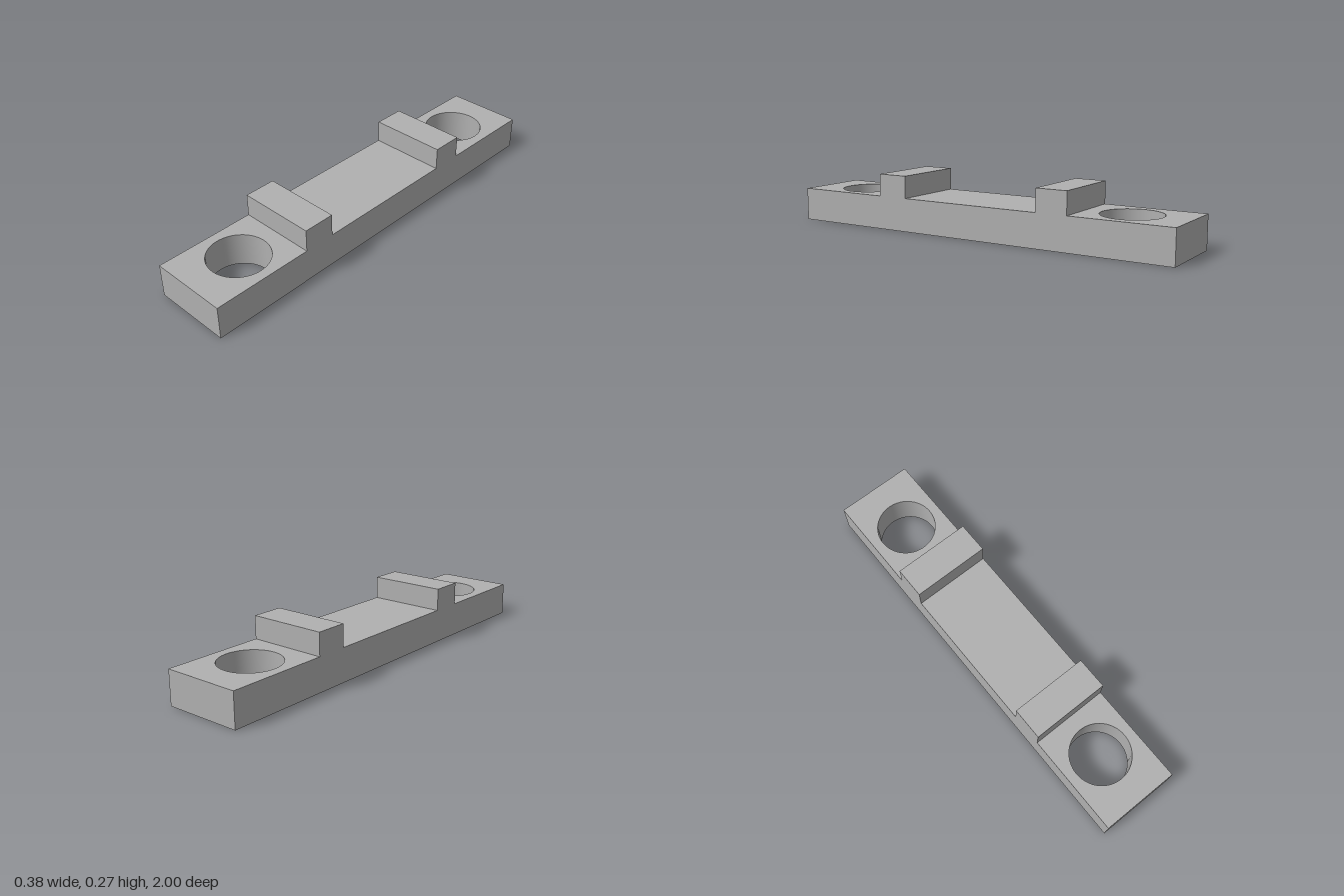
import * as THREE from 'three';
import { toCreasedNormals } from 'three/addons/utils/BufferGeometryUtils.js';

const WIDTH = 0.378, LENGTH = 2, BASE_HEIGHT = 0.162, TOTAL_HEIGHT = 0.27;
const HOLE_Z = 0.73, HOLE_RADIUS = 0.142;
const RIDGE_Z = 0.435, RIDGE_DEPTH = 0.154;

export function createModel() {
  const model = new THREE.Group();
  model.name = 'mountingBar';
  const grey = new THREE.MeshStandardMaterial({ color: 0xb0b0b0 });
  grey.name = 'grey';

  // Flat bar with a round through hole near each end
  const outline = new THREE.Shape([
    new THREE.Vector2(-WIDTH / 2, -LENGTH / 2),
    new THREE.Vector2(WIDTH / 2, -LENGTH / 2),
    new THREE.Vector2(WIDTH / 2, LENGTH / 2),
    new THREE.Vector2(-WIDTH / 2, LENGTH / 2),
  ]);
  for (const side of [-1, 1]) {
    const hole = new THREE.Path();
    hole.absarc(0, side * HOLE_Z, HOLE_RADIUS, 0, Math.PI * 2, true);
    outline.holes.push(hole);
  }
  const barGeometry = new THREE.ExtrudeGeometry(outline, {
    depth: BASE_HEIGHT, bevelEnabled: false, curveSegments: 32,
  });
  barGeometry.rotateX(-Math.PI / 2);
  const bar = new THREE.Mesh(toCreasedNormals(barGeometry, Math.PI / 6), grey);
  bar.name = 'bar';
  model.add(bar);

  // Raised ridges across the bar, mirrored front and back
  const ridgeHeight = TOTAL_HEIGHT - BASE_HEIGHT;
  const ridgeGeometry = new THREE.BoxGeometry(WIDTH, ridgeHeight, RIDGE_DEPTH);
  for (const side of [-1, 1]) {
    const ridge = new THREE.Mesh(ridgeGeometry, grey);
    ridge.name = side > 0 ? 'frontRidge' : 'backRidge';
    ridge.position.set(0, BASE_HEIGHT + ridgeHeight / 2, side * RIDGE_Z);
    model.add(ridge);
  }
  return model;
}
